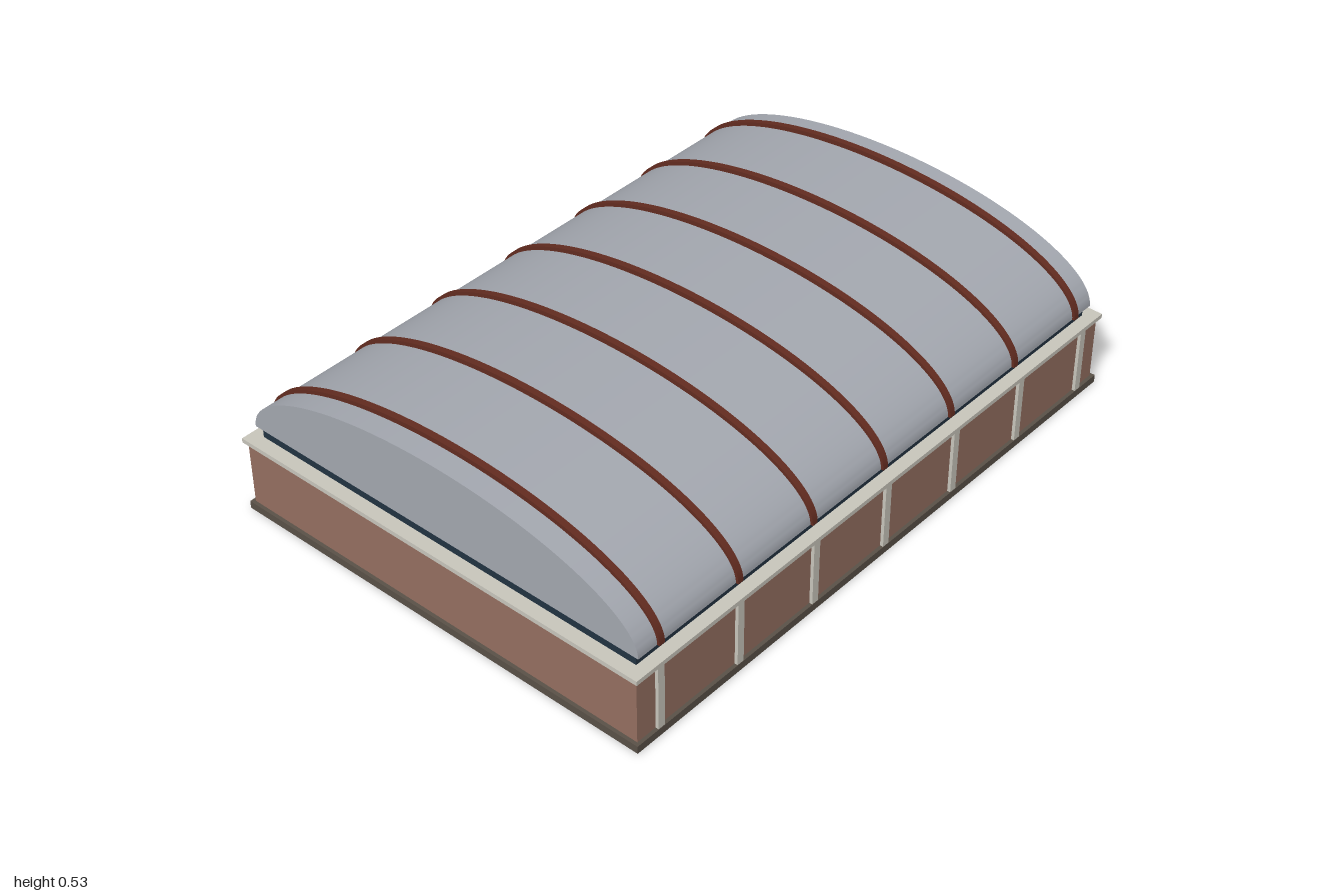
import * as THREE from 'three';
import { toCreasedNormals } from 'three/addons/utils/BufferGeometryUtils.js';

const material = (name, color) => {
  const m = new THREE.MeshStandardMaterial({ color });
  m.name = name;
  return m;
};

export function createModel() {
  const brick = material('brick', 0x956f61);
  const stone = material('pale stone', 0xc9c6bc);
  const plinthGrey = material('plinth grey', 0x5a5148);
  const glass = material('dark glass', 0x223342);
  const metal = material('roof metal', 0xa4a8b0);
  const rust = material('rib rust', 0x632c20);

  const group = new THREE.Group();
  group.name = 'vaultedHall';

  const add = (name, geometry, mat, x = 0, y = 0, z = 0) => {
    const mesh = new THREE.Mesh(geometry, mat);
    mesh.name = name;
    mesh.position.set(x, y, z);
    group.add(mesh);
  };
  // Box given by its full width and depth and its bottom and top heights
  const block = (name, mat, w, d, y0, y1, x = 0, z = 0) =>
    add(name, new THREE.BoxGeometry(w, y1 - y0, d), mat, x, (y0 + y1) / 2, z);
  // Extrude a cross-section across the hall, centred along x
  const extrudeX = (shape, length) => {
    const g = new THREE.ExtrudeGeometry(shape, { depth: length, bevelEnabled: false, curveSegments: 48 });
    g.translate(0, 0, -length / 2).rotateY(Math.PI / 2);
    return toCreasedNormals(g, 0.5);
  };

  // Walls, plinth, cornice and the glazed strip under the roof
  block('walls', brick, 1.978, 1.406, 0, 0.235);
  block('plinth', plinthGrey, 2, 1.428, 0.001, 0.025);
  block('cornice', stone, 2, 1.428, 0.231, 0.245);
  block('clerestory', glass, 1.914, 1.348, 0.24, 0.285);

  // Barrel roof: half an ellipse, solid so that the gables are closed
  const eaves = 0.28;
  const roof = new THREE.Shape();
  roof.absellipse(0, 0, 0.69, 0.233, 0, Math.PI, false);
  roof.closePath();
  add('roof', extrudeX(roof, 1.934), metal, 0, eaves, 0);

  // Curved ribs standing proud of the roof
  const rib = new THREE.Shape();
  rib.absellipse(0, 0, 0.698, 0.248, 0, Math.PI, false);
  rib.absellipse(0, 0, 0.682, 0.228, Math.PI, 0, true);
  rib.closePath();
  const ribGeometry = extrudeX(rib, 0.02);

  // Ribs and pilasters repeat along the length
  for (let i = -3; i <= 3; i++) {
    add('roofRib', ribGeometry, rust, i * 0.296, eaves, 0);
    for (const side of [-1, 1])
      block('pilaster', stone, 0.024, 0.02, 0.02, 0.232, i * 0.303, side * 0.703);
  }
  return group;
}
